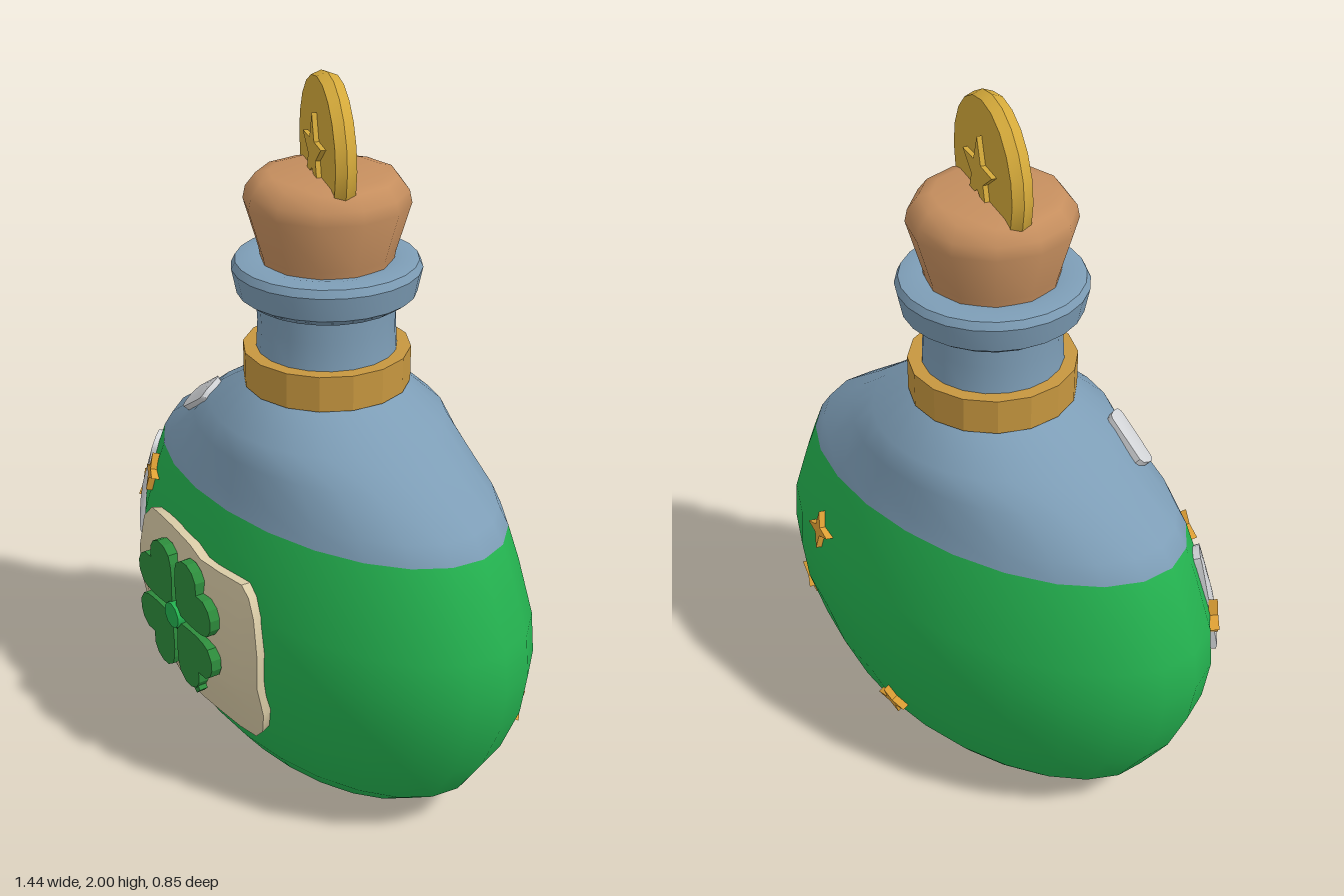
import * as THREE from 'three';
import { mergeVertices, toCreasedNormals } from 'three/addons/utils/BufferGeometryUtils.js';

const mat = (name, color) => Object.assign(new THREE.MeshStandardMaterial({ color }), { name });
const M = {
  liquid: mat('green liquid', 0x24b350),
  glass: mat('blue grey glass', 0x7d9db6),
  band: mat('brass', 0xc6963f),
  coin: mat('coin gold', 0xd4a93a),
  cork: mat('cork brown', 0xc58e5e),
  label: mat('parchment', 0xd8caa5),
  clover: mat('clover green', 0x2d8c3c),
  sparkle: mat('sparkle amber', 0xe0a135),
  shine: mat('pale shine', 0xd3d5d8),
};

const CZ = -0.025; // depth of the bottle axis
const LEVEL = 0.89; // top of the liquid
// Bottle belly: height, half width, half depth
const BELLY = [
  [0, 0, 0], [0.01, 0.31, 0.14], [0.055, 0.45, 0.24], [0.135, 0.56, 0.3], [0.27, 0.645, 0.35],
  [0.41, 0.7, 0.385], [0.535, 0.718, 0.396], [0.65, 0.705, 0.391], [0.8, 0.65, 0.366],
  [LEVEL, 0.612, 0.344], [0.94, 0.575, 0.33], [1.03, 0.44, 0.315], [1.1, 0.345, 0.3], [1.18, 0.215, 0.215],
];

function mesh(name, geometry, material, parent) {
  const m = new THREE.Mesh(geometry, material);
  m.name = name;
  parent.add(m);
  return m;
}

// Point and normal on the belly, side = 1 for front or -1 for back
function surface(x, y, side = 1) {
  let i = 1;
  while (i < BELLY.length - 1 && BELLY[i][0] < y) i++;
  const [y0, a0, b0] = BELLY[i - 1], [y1, a1, b1] = BELLY[i];
  const t = (y - y0) / (y1 - y0), a = a0 + (a1 - a0) * t, b = b0 + (b1 - b0) * t;
  const z = side * b * Math.sqrt(Math.max(0, 1 - (x / a) ** 2));
  const ny = -(x * x / a ** 3 * (a1 - a0) + z * z / b ** 3 * (b1 - b0)) / (y1 - y0);
  const normal = new THREE.Vector3(x / a ** 2, ny, z / b ** 2).normalize();
  return { point: new THREE.Vector3(x, y, z + CZ), normal };
}

// Oval belly, split into liquid and glass at the liquid level
function bellyGeometry() {
  let g = new THREE.LatheGeometry(BELLY.map(([y, a]) => new THREE.Vector2(a, y)), 24);
  const rows = BELLY.length, p = g.attributes.position;
  for (let i = 0; i < p.count; i++) {
    const [, a, b] = BELLY[i % rows];
    p.setZ(i, p.getZ(i) * (a ? b / a : 1) + CZ);
  }
  g.deleteAttribute('uv');
  g.deleteAttribute('normal');
  g = mergeVertices(g, 1e-5);
  g.computeVertexNormals();
  const low = [], high = [], ix = g.index.array, q = g.attributes.position;
  for (let i = 0; i < ix.length; i += 3) {
    const tri = [ix[i], ix[i + 1], ix[i + 2]];
    const y = tri.reduce((s, k) => s + q.getY(k), 0) / 3;
    (y < LEVEL ? low : high).push(...tri);
  }
  g.setIndex([...low, ...high]);
  g.addGroup(0, low.length, 0);
  g.addGroup(low.length, high.length, 1);
  return g;
}

function turned(points, sides, crease = 0.6) {
  const g = new THREE.LatheGeometry(points.map(([r, y]) => new THREE.Vector2(r, y)), sides);
  return toCreasedNormals(g, crease);
}

// Plate that hugs the front of the belly; outline runs counter-clockwise
function wrappedPlate(outline, height, rings = 5) {
  const n = outline.length, pos = [], idx = [];
  const c = outline.reduce((s, p) => [s[0] + p[0] / n, s[1] + p[1] / n], [0, 0]);
  const put = (x, y, h) => {
    const s = surface(x, y);
    pos.push(...s.point.addScaledVector(s.normal, h));
  };
  for (let r = 0; r <= rings + 1; r++) {
    const t = Math.min(r, rings) / rings;
    for (const [x, y] of outline) {
      put(c[0] + (x - c[0]) * t, c[1] + (y - c[1]) * t, r > rings ? -0.01 : height);
    }
  }
  for (let r = 0; r <= rings; r++) {
    for (let i = 0; i < n; i++) {
      const a = r * n + i, b = r * n + (i + 1) % n;
      if (r > 0) idx.push(a, b + n, b);
      idx.push(a, a + n, b + n);
    }
  }
  const g = new THREE.BufferGeometry();
  g.setAttribute('position', new THREE.Float32BufferAttribute(pos, 3));
  g.setIndex(idx);
  return toCreasedNormals(g, 0.7);
}

// Capsule outline between two points
function capsule([x0, y0], [x1, y1], r) {
  const dir = Math.atan2(y1 - y0, x1 - x0), out = [];
  for (let k = 0; k < 12; k++) {
    const end = k < 6, a = dir - Math.PI / 2 + Math.PI * (end ? k / 5 : 1 + (k - 6) / 5);
    out.push([(end ? x1 : x0) + r * Math.cos(a), (end ? y1 : y0) + r * Math.sin(a)]);
  }
  return out;
}

function starGeometry(tips, outer, inner, depth) {
  const pts = [];
  for (let i = 0; i < tips * 2; i++) {
    const a = Math.PI / 2 + i * Math.PI / tips, r = i % 2 ? inner : outer;
    pts.push(new THREE.Vector2(r * Math.cos(a), r * Math.sin(a)));
  }
  return new THREE.ExtrudeGeometry(new THREE.Shape(pts), { depth, bevelEnabled: false });
}

export function createModel() {
  const model = new THREE.Group();
  model.name = 'luckPotion';
  mesh('bottleBelly', bellyGeometry(), [M.liquid, M.glass], model);

  // Neck, collar, lip and cork share one axis
  const top = new THREE.Group();
  top.name = 'bottleTop';
  top.position.z = CZ;
  model.add(top);
  mesh('neck', turned([[0.2, 1.15], [0.187, 1.28], [0.183, 1.35], [0.187, 1.43]], 20), M.glass, top);
  mesh('lip', turned([[0.18, 1.41], [0.205, 1.412], [0.237, 1.435], [0.25, 1.5], [0.24, 1.52],
    [0.2, 1.527], [0.16, 1.52]], 24), M.glass, top);
  mesh('collar', turned([[0.19, 1.18], [0.224, 1.18], [0.224, 1.277], [0.18, 1.277]], 16, 0.3), M.band, top);
  const cork = mesh('cork', turned([[0, 1.5], [0.172, 1.5], [0.178, 1.54], [0.217, 1.672], [0.21, 1.705],
    [0.183, 1.74], [0.15, 1.748], [0, 1.748]], 12, 0.9), M.cork, top);
  cork.rotation.y = Math.PI / 12;

  // Coin stuck in the cork, with a raised star on each face
  const coin = new THREE.Group();
  coin.name = 'coin';
  coin.position.set(0, 1.8, 0);
  coin.rotation.y = -0.455;
  top.add(coin);
  const disc = turned([[0, -0.027], [0.19, -0.027], [0.2, 0], [0.19, 0.027], [0, 0.027]], 20, 0.35);
  mesh('coinDisc', disc.rotateX(Math.PI / 2), M.coin, coin);
  for (const turn of [0, Math.PI]) {
    const face = new THREE.Group();
    face.rotation.y = turn;
    coin.add(face);
    mesh('coinStar', starGeometry(5, 0.1, 0.04, 0.02), M.coin, face).position.z = 0.02;
  }

  // Parchment label
  const label = [[-0.43, 0.58], [-0.437, 0.49], [-0.425, 0.36], [-0.39, 0.285], [-0.34, 0.248], [-0.27, 0.235],
    [-0.2, 0.238], [-0.12, 0.244], [-0.03, 0.25], [0.06, 0.243], [0.125, 0.245], [0.165, 0.285],
    [0.19, 0.36], [0.187, 0.45], [0.197, 0.55], [0.18, 0.66], [0.155, 0.71], [0.125, 0.737],
    [0.04, 0.737], [-0.045, 0.737], [-0.1, 0.755], [-0.2, 0.763], [-0.28, 0.757], [-0.345, 0.745],
    [-0.4, 0.69]];
  mesh('label', wrappedPlate(label, 0.028), M.label, model);

  // Four-leaf clover
  const clover = new THREE.Group();
  clover.name = 'clover';
  clover.position.set(-0.14, 0.53, 0.375);
  clover.rotation.y = -0.1;
  model.add(clover);
  const solid = { depth: 0.03, bevelEnabled: false, curveSegments: 5 };
  const leaf = new THREE.Shape();
  leaf.moveTo(0, 0.02);
  leaf.bezierCurveTo(0.04, 0.055, 0.1, 0.1, 0.11, 0.14);
  leaf.bezierCurveTo(0.115, 0.2, 0.035, 0.235, 0, 0.175);
  leaf.bezierCurveTo(-0.035, 0.235, -0.115, 0.2, -0.11, 0.14);
  leaf.bezierCurveTo(-0.1, 0.1, -0.04, 0.055, 0, 0.02);
  const leafGeometry = new THREE.ExtrudeGeometry(leaf, solid);
  for (let i = 0; i < 4; i++) {
    mesh('cloverLeaf', leafGeometry, M.clover, clover).rotation.z = Math.PI / 4 + i * Math.PI / 2;
  }
  const stem = new THREE.Shape([[-0.01, 0], [0.01, -0.08], [0.035, -0.14], [0.055, -0.17], [0.1, -0.208],
    [0.118, -0.19], [0.1, -0.165], [0.065, -0.13], [0.035, -0.07], [0.015, 0]]
    .map(([x, y]) => new THREE.Vector2(x, y)));
  mesh('cloverStem', new THREE.ExtrudeGeometry(stem, { ...solid, depth: 0.025 }), M.clover, clover);
  const heart = mesh('cloverCentre', new THREE.CylinderGeometry(0.038, 0.038, 0.04, 10), M.liquid, clover);
  heart.rotation.x = Math.PI / 2;
  heart.position.z = 0.02;

  // Pale reflections on the glass
  mesh('longShine', wrappedPlate(capsule([-0.622, 0.525], [-0.577, 0.81], 0.026), 0.015, 3), M.shine, model);
  mesh('shortShine', wrappedPlate(capsule([-0.375, 1.025], [-0.27, 1.095], 0.02), 0.015, 3), M.shine, model);

  // Sparkles: x, y, side, spin
  const sparkleGeometry = starGeometry(4, 0.058, 0.018, 0.025);
  for (const [x, y, side, spin] of [[-0.46, 0.79, 1, 0.1], [-0.642, 0.635, 1, 0], [-0.485, 0.23, 1, 0.35],
    [0.35, 0.7, -1, 0.1], [0.56, 0.325, -1, 0.15], [0.1, 0.2, -1, 0.1]]) {
    const s = mesh('sparkle', sparkleGeometry, M.sparkle, model);
    const { point, normal } = surface(x, y, side);
    s.position.copy(point).addScaledVector(normal, -0.008);
    s.lookAt(s.position.clone().add(normal));
    s.rotateZ(spin);
  }
  return model;
}
